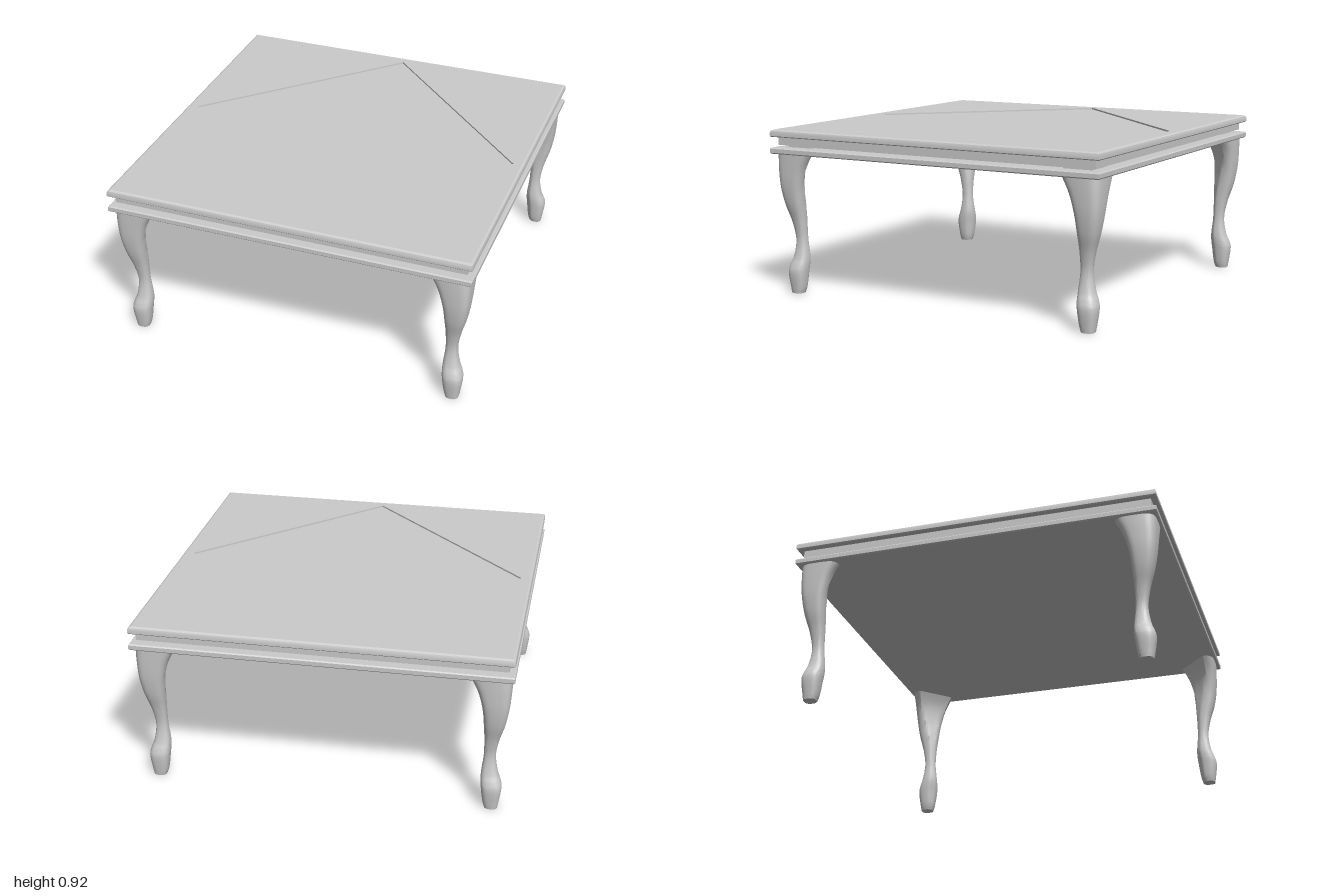
import * as THREE from 'three';
import { toCreasedNormals } from 'three/addons/utils/BufferGeometryUtils.js';

const grey = new THREE.MeshStandardMaterial({ color: 0xcccccc });

function add(group, name, geometry) {
  const mesh = new THREE.Mesh(geometry, grey);
  mesh.name = name;
  group.add(mesh);
  return mesh;
}

// Square slab swept from a profile of [half width, y], bottom to top
function squareSweep(profile) {
  const pts = profile.map(([w, y]) => new THREE.Vector2(w * Math.SQRT2, y));
  return toCreasedNormals(new THREE.LatheGeometry(pts, 4, Math.PI / 4), 0.6);
}

// Cabriole leg: rounded square sections, flattened on the inner corner towards the top
function legGeometry() {
  const stations = [ // outer edge, inner edge, height
    [0.937, 0.867, 0], [0.942, 0.858, 0.03], [0.953, 0.845, 0.125], [0.945, 0.842, 0.16],
    [0.93, 0.842, 0.2], [0.915, 0.852, 0.3], [0.93, 0.852, 0.4], [0.958, 0.847, 0.5],
    [0.975, 0.837, 0.6], [0.982, 0.81, 0.7], [0.985, 0.766, 0.785],
  ].map(a => new THREE.Vector3(...a));
  const curve = new THREE.CatmullRomCurve3(stations, false, 'centripetal');
  const rings = 50, sides = 32, pos = [], idx = [];
  for (let r = 0; r <= rings; r++) {
    const { x: outer, y: inner, z: y } = curve.getPoint(r / rings);
    const c = (outer + inner) / 2, h = (outer - inner) / 2;
    const top = THREE.MathUtils.smoothstep(y, 0.4, 0.78);
    const power = 2 / (2.7 + 1.3 * top), limit = 1.4 - 0.9 * top;
    for (let s = 0; s < sides; s++) {
      const a = (s / sides) * Math.PI * 2;
      let u = Math.sign(Math.cos(a)) * Math.abs(Math.cos(a)) ** power;
      let v = Math.sign(Math.sin(a)) * Math.abs(Math.sin(a)) ** power;
      const push = Math.max(0, -limit - u - v) / 2;
      u += push;
      v += push;
      pos.push(c + h * u, y, c + h * v);
    }
  }
  for (let r = 0; r < rings; r++) {
    for (let s = 0; s < sides; s++) {
      const a = r * sides + s, b = r * sides + (s + 1) % sides;
      idx.push(a, a + sides, b, b, a + sides, b + sides);
    }
  }
  // Sole of the foot
  const centre = pos.length / 3;
  pos.push(0.902, 0, 0.902);
  for (let s = 0; s < sides; s++) idx.push(centre, s, (s + 1) % sides);
  const g = new THREE.BufferGeometry();
  g.setAttribute('position', new THREE.Float32BufferAttribute(pos, 3));
  g.setIndex(idx);
  return toCreasedNormals(g, 0.7);
}

export function createModel() {
  const table = new THREE.Group();
  table.name = 'table';

  // Top slab with softened edges, left open above for the inlay
  add(table, 'topSlab', squareSweep([
    [0, 0.877], [0.995, 0.877], [1, 0.882], [1, 0.9], [0.996, 0.911], [0.985, 0.917],
  ]));

  // Top surface with a diamond opening
  const w = 0.985, d = 0.94;
  const face = new THREE.Shape([[-w, -w], [w, -w], [w, w], [-w, w]].map(p => new THREE.Vector2(...p)));
  face.holes.push(new THREE.Path([[d, 0], [0, -d], [-d, 0], [0, d]].map(p => new THREE.Vector2(...p))));
  add(table, 'topSurface', new THREE.ShapeGeometry(face).rotateX(-Math.PI / 2).translate(0, 0.917, 0));

  // Shallow sunken diamond panel
  const recess = [[d, 0.917], [d, 0.908], [0, 0.908]].map(p => new THREE.Vector2(...p));
  add(table, 'diamondInlay', toCreasedNormals(new THREE.LatheGeometry(recess, 4), 0.6));

  // Apron, shadow gap and lower moulding
  add(table, 'apron', new THREE.BoxGeometry(1.934, 0.045, 1.934)).position.y = 0.8545;
  add(table, 'gapCore', new THREE.BoxGeometry(1.8, 0.02, 1.8)).position.y = 0.825;
  add(table, 'lowerMoulding', squareSweep([
    [0, 0.784], [0.994, 0.784], [1, 0.79], [1, 0.812], [0.994, 0.818], [0, 0.818],
  ]));

  // Four legs and the leg blocks showing in the gap
  const leg = legGeometry();
  for (let i = 0; i < 4; i++) {
    const corner = new THREE.Group();
    corner.name = 'legCorner' + (i + 1);
    corner.rotation.y = i * Math.PI / 2;
    add(corner, 'leg', leg);
    add(corner, 'legBlock', new THREE.BoxGeometry(0.16, 0.012, 0.16)).position.set(0.85, 0.823, 0.85);
    table.add(corner);
  }
  return table;
}
